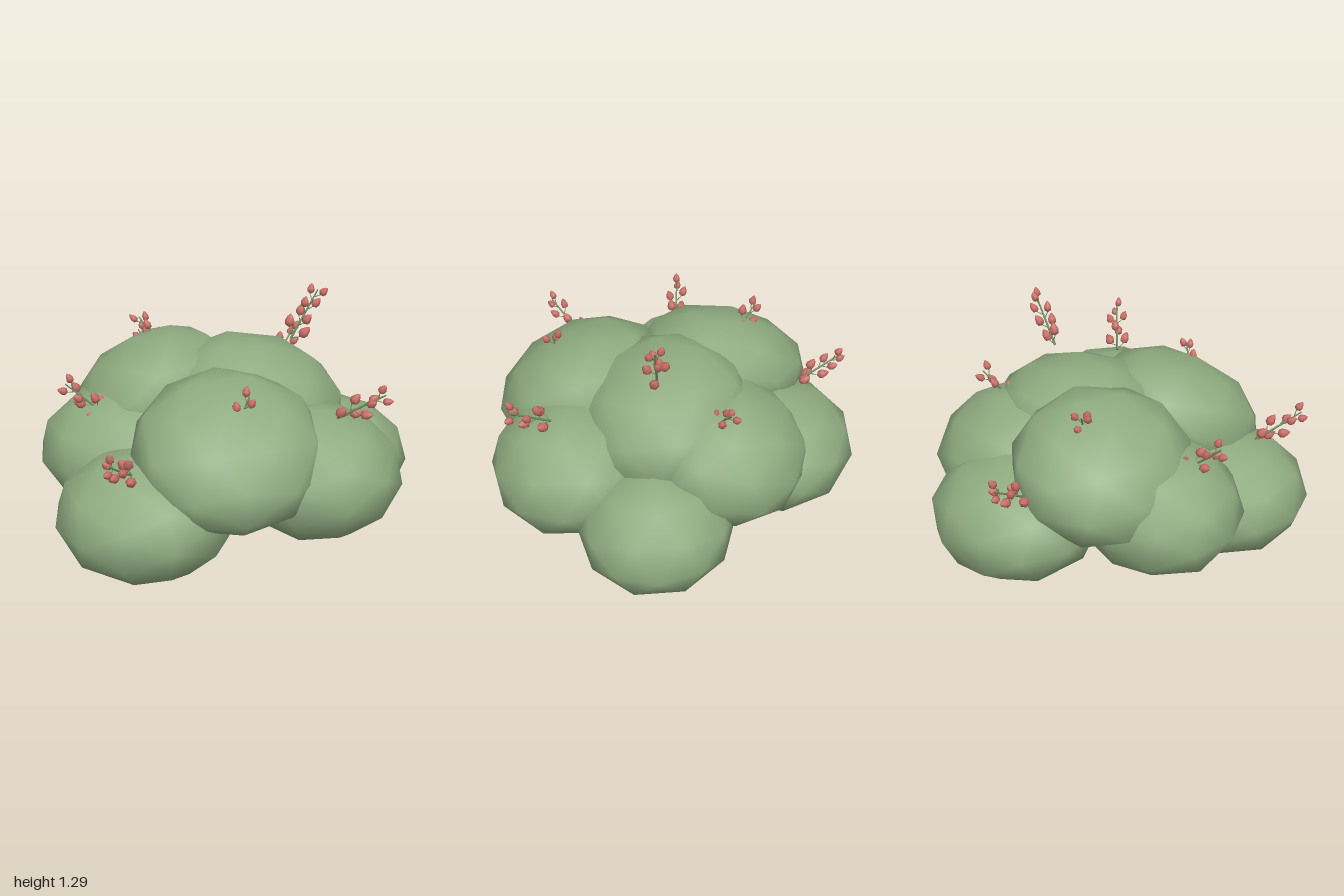
import * as THREE from 'three';

const leafGreen = new THREE.MeshStandardMaterial({ name: 'leafGreen', color: 0x8fab80 });
const stemGreen = new THREE.MeshStandardMaterial({ name: 'stemGreen', color: 0x76946a });
const budRed = new THREE.MeshStandardMaterial({ name: 'budRed', color: 0xca7068 });

// Foliage clumps: name, centre, radii, yaw, outward lean towards x and z (degrees)
const CLUMPS = [
  ['frontRightClump', [-0.49, 0.34, 0.53], [0.46, 0.325, 0.45], 12, [0, 0]],
  ['leftClump', [0.575, 0.315, -0.05], [0.435, 0.315, 0.41], 16, [4, 0]],
  ['frontLeftClump', [0.375, 0.465, 0.44], [0.455, 0.34, 0.44], 10, [4, 3]],
  ['frontClump', [-0.08, 0.65, 0.525], [0.49, 0.3, 0.48], 3, [-2, 25]],
  ['crownClump', [0.14, 0.69, 0.01], [0.5, 0.325, 0.47], 8, [13, 8]],
  ['rightClump', [-0.55, 0.48, 0.02], [0.465, 0.335, 0.43], 16, [-3, 0]],
  ['backClump', [-0.1, 0.405, -0.54], [0.47, 0.325, 0.445], 0, [0, -4]],
  ['upperRightClump', [-0.385, 0.7, -0.2], [0.455, 0.3, 0.48], 14, [-24, -6]],
  ['backLeftClump', [0.21, 0.56, -0.34], [0.46, 0.32, 0.44], 5, [6, -15]],
];

// Flowering sprigs: point on the foliage, tip
const SPRIGS = [
  [[0.32, 0.99, 0.0], [0.49, 1.29, -0.03]],
  [[0.36, 0.84, -0.34], [0.45, 0.95, -0.41]],
  [[-0.37, 0.95, -0.31], [-0.45, 1.07, -0.38]],
  [[0.48, 0.79, 0.53], [0.68, 0.96, 0.67]],
  [[-0.03, 0.89, 0.64], [0.01, 1.0, 0.65]],
  [[-0.58, 0.64, 0.7], [-0.69, 0.79, 0.9]],
  [[-0.7, 0.74, 0.13], [-0.87, 0.91, 0.16]],
  [[-0.35, 0.68, -0.68], [-0.42, 0.82, -0.87]],
];

const UP = new THREE.Vector3(0, 1, 0);
const clumpGeometry = new THREE.IcosahedronGeometry(1, 1);
const stemGeometry = new THREE.CylinderGeometry(0.004, 0.007, 1, 5);
// Pointed bud, growing up from its base
const budGeometry = new THREE.LatheGeometry(
  [[0, 0], [0.3, 0.18], [0.35, 0.45], [0.2, 0.78], [0, 1]].map(([x, y]) => new THREE.Vector2(x, y)), 6);

function addMesh(parent, name, geometry, material) {
  const mesh = new THREE.Mesh(geometry, material);
  mesh.name = name;
  parent.add(mesh);
  return mesh;
}

// Thin stem with pairs of buds that shrink slightly towards the tip
function makeSprig(base, tip, index) {
  const sprig = new THREE.Group();
  sprig.name = 'sprig';
  const end = new THREE.Vector3(...tip);
  const direction = end.clone().sub(new THREE.Vector3(...base)).normalize();
  const length = 0.32;
  sprig.position.copy(end).addScaledVector(direction, -length);
  sprig.quaternion.setFromUnitVectors(UP, direction);

  const stem = addMesh(sprig, 'stem', stemGeometry, stemGreen);
  stem.scale.y = length * 0.92;
  stem.position.y = length * 0.46;

  for (let level = 0; level < 4; level++) {
    const size = 0.076 - level * 0.006;
    for (let side = 0; side < 2; side++) {
      const angle = index * 0.9 + level * 1.3 + side * Math.PI;
      const out = new THREE.Vector3(Math.cos(angle), 0, Math.sin(angle));
      const bud = addMesh(sprig, 'bud', budGeometry, budRed);
      bud.position.copy(out).multiplyScalar(0.038 - level * 0.004);
      bud.position.y = 0.03 + level * 0.075 + side * 0.02;
      bud.quaternion.setFromUnitVectors(UP, out.multiplyScalar(0.4).add(UP).normalize());
      bud.scale.setScalar(size);

      // Short stalk joining bud and stem
      const stalk = addMesh(sprig, 'stalk', stemGeometry, stemGreen);
      const root = new THREE.Vector3(0, bud.position.y - 0.025, 0);
      const span = bud.position.clone().sub(root);
      stalk.position.copy(root).addScaledVector(span, 0.5);
      stalk.scale.set(0.5, span.length(), 0.5);
      stalk.quaternion.setFromUnitVectors(UP, span.normalize());
    }
  }
  return sprig;
}

export function createModel() {
  const bush = new THREE.Group();
  bush.name = 'bush';
  for (const [name, centre, radii, yaw, lean] of CLUMPS) {
    // Yaw, stretch, then lean the flattened clump outwards
    const geometry = clumpGeometry.clone().rotateY(THREE.MathUtils.degToRad(yaw));
    const clump = addMesh(bush, name, geometry, leafGreen);
    const [leanX, leanZ] = lean.map((angle) => Math.tan(THREE.MathUtils.degToRad(angle)));
    clump.position.set(...centre);
    clump.scale.set(...radii);
    clump.quaternion.setFromUnitVectors(UP, new THREE.Vector3(leanX, 1, leanZ).normalize());
  }
  SPRIGS.forEach(([base, tip], i) => bush.add(makeSprig(base, tip, i)));
  return bush;
}
